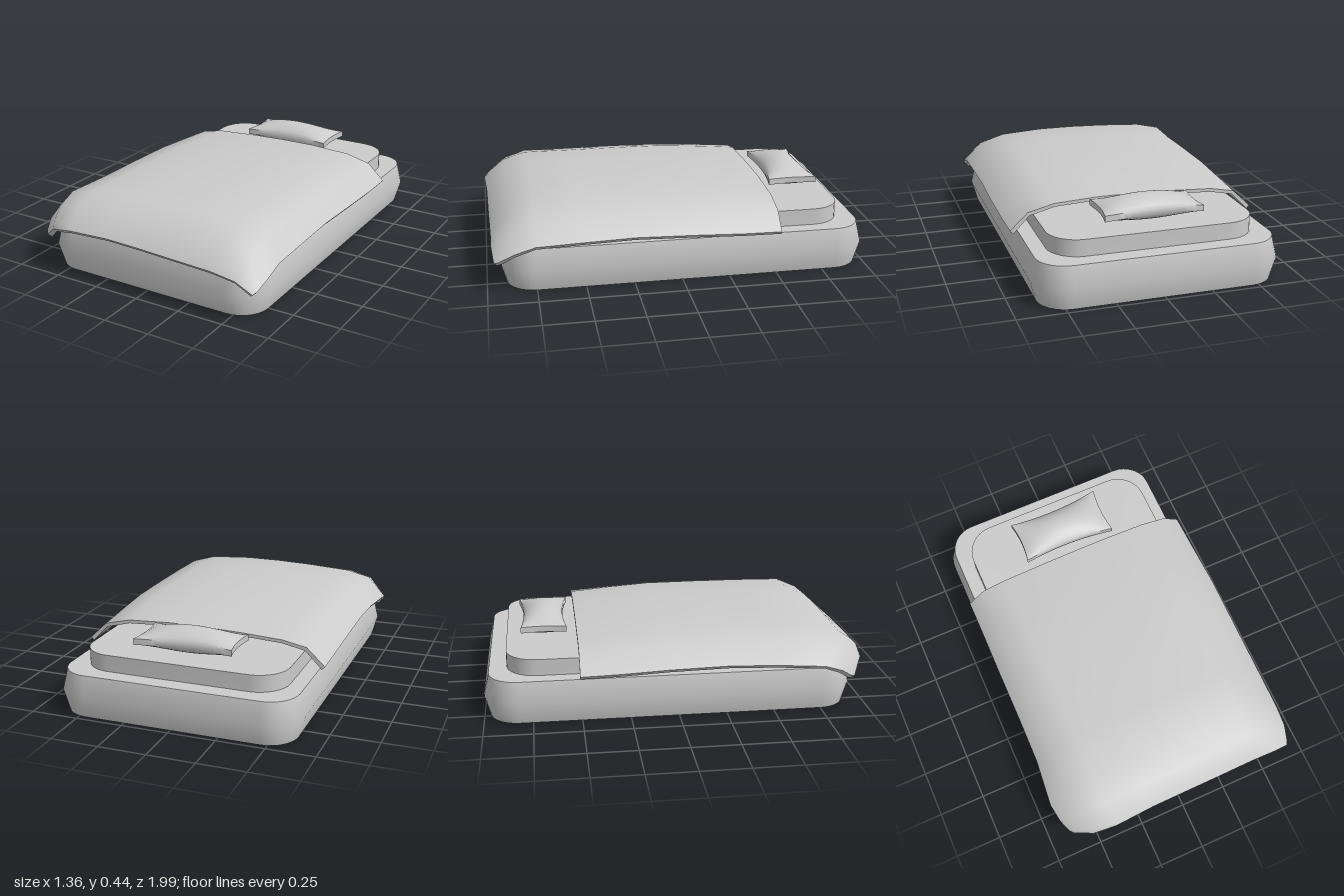
import * as THREE from 'three';
import { toCreasedNormals } from 'three/addons/utils/BufferGeometryUtils.js';

const material = new THREE.MeshStandardMaterial({ color: 0xcccccc });

function mesh(name, positions, index, crease) {
  const g = new THREE.BufferGeometry();
  g.setAttribute('position', new THREE.Float32BufferAttribute(positions, 3));
  g.setIndex(index);
  const m = new THREE.Mesh(toCreasedNormals(g, crease), material);
  m.name = name;
  return m;
}

// Outline of a rounded rectangle, counterclockwise from above
function roundedRing(hx, hz, cz, r, y, seg = 8) {
  const pts = [];
  for (let c = 0; c < 4; c++) {
    const sx = c === 0 || c === 3 ? 1 : -1, sz = c < 2 ? -1 : 1;
    for (let i = 0; i <= seg; i++) {
      const a = (c + i / seg) * Math.PI / 2;
      pts.push([sx * (hx - r) + r * Math.cos(a), y, cz + sz * (hz - r) - r * Math.sin(a)]);
    }
  }
  return pts;
}

// Closed solid through a stack of rings, bottom to top
function loft(name, rings, cz) {
  const n = rings[0].length, pos = rings.flat(2), idx = [];
  const bottom = rings.length * n, top = bottom + 1;
  pos.push(0, rings[0][0][1], cz, 0, rings[rings.length - 1][0][1], cz);
  for (let i = 0; i < n; i++) {
    const j = (i + 1) % n, last = (rings.length - 1) * n;
    for (let k = 0; k < rings.length - 1; k++) {
      const a = k * n + i, b = k * n + j;
      idx.push(a, b, b + n, a, b + n, a + n);
    }
    idx.push(bottom, j, i, top, last + i, last + j);
  }
  return mesh(name, pos, idx, 0.9);
}

// Closed sheet between an upper and a lower surface, joined by a rim
function sheet(name, nu, nv, upper, lower) {
  const pos = [], idx = [], half = nu * nv;
  for (const f of [upper, lower])
    for (let v = 0; v < nv; v++) for (let u = 0; u < nu; u++) pos.push(...f(u, v));
  const quad = (a, b, c, d) => idx.push(a, b, c, a, c, d);
  for (let v = 0; v < nv - 1; v++) for (let u = 0; u < nu - 1; u++) {
    const a = v * nu + u, b = a + 1, c = b + nu, d = a + nu;
    quad(a, d, c, b);
    quad(a + half, b + half, c + half, d + half);
  }
  const rim = (a, b) => quad(a, a + half, b + half, b);
  for (let u = 0; u < nu - 1; u++) {
    rim(u + 1, u);
    rim((nv - 1) * nu + u, (nv - 1) * nu + u + 1);
  }
  for (let v = 0; v < nv - 1; v++) {
    rim(v * nu, (v + 1) * nu);
    rim((v + 2) * nu - 1, (v + 1) * nu - 1);
  }
  return mesh(name, pos, idx, 1.0);
}

export function createModel() {
  const group = new THREE.Group();

  // Base with a belly halfway up
  const cz = -0.035;
  group.add(loft('base', [[0.03, 0], [0, 0.11], [0.028, 0.225]].map(
    ([inset, y]) => roundedRing(0.643 - inset, 0.965 - inset, cz, 0.18 - inset, y)), cz));

  // Mattress
  group.add(loft('mattress', [0.22, 0.312].map(
    (y) => roundedRing(0.535, 0.85, -0.03, 0.16, y)), -0.03));

  // Blanket: columns [u, drop], rows [z, crown height, left half, right half, drop scale]
  const cols = [[-1, 0.15], [-0.85, 0.045], [-0.65, 0.015], [-0.3, 0.003], [0, 0],
    [0.3, 0.003], [0.65, 0.018], [0.86, 0.055], [1, 0.15]];
  const rows = [
    [-0.508, 0.385, 0.65, 0.665, 0.9], [-0.3, 0.405, 0.65, 0.67, 1],
    [-0.05, 0.422, 0.652, 0.675, 1.03], [0.25, 0.424, 0.652, 0.67, 1],
    [0.5, 0.424, 0.655, 0.67, 1.05], [0.75, 0.42, 0.68, 0.67, 1.08],
    [0.87, 0.375, 0.665, 0.67, 1], [0.95, 0.305, 0.64, 0.655, 0.8],
    [0.978, 0.268, 0.62, 0.643, 0.62]];
  const frontShift = [-0.055, 0, 0.015, 0.003, 0, -0.003, -0.008, -0.008, -0.018];
  const blanketTop = (i, j) => {
    const [u, drop] = cols[i], [z, y, left, right, scale] = rows[j];
    const front = Math.max(0, (z - 0.75) / 0.23);
    const tilt = (0.006 - 0.022 * front) * u * (1 - u * u) * 2;
    return [u * (u < 0 ? left : right), y - drop * scale + tilt, z + frontShift[i] * front];
  };
  const blanketBottom = (i, j) => {
    const [x, y, z] = blanketTop(i, j), u = cols[i][0];
    const front = Math.max(0, (rows[j][0] - 0.75) / 0.23);
    return [x - 0.016 * u ** 5, y - 0.018, z - 0.016 * front];
  };
  group.add(sheet('blanket', cols.length, rows.length, blanketTop, blanketBottom));

  // Pillow with pinched sides and a flat seam band
  const n = 17;
  const pillowSide = (edge, bulge) => (i, j) => {
    const u = 2 * i / (n - 1) - 1, v = 2 * j / (n - 1) - 1;
    const pu = 1 - u * u, pv = 1 - v * v;
    return [0.26 * u * (1 - 0.05 * pv), edge + bulge * Math.pow(pu * pv, 0.8),
      -0.68 + 0.127 * v * (1 - 0.17 * pu) + 0.006 * u * v * v * v];
  };
  group.add(sheet('pillow', n, n, pillowSide(0.392, 0.053), pillowSide(0.36, -0.046)));

  return group;
}
